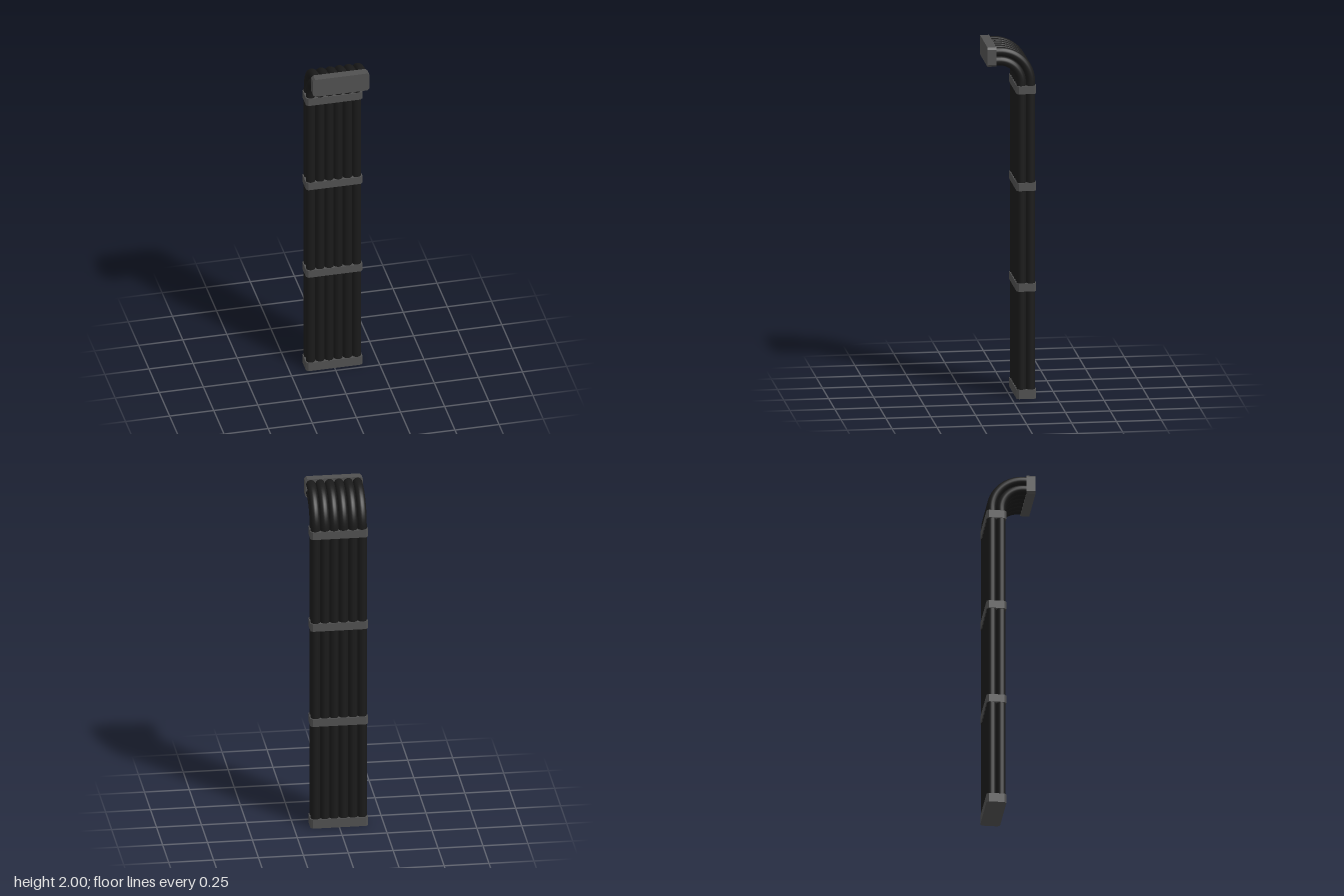
import * as THREE from 'three';
import { mergeGeometries } from 'three/addons/utils/BufferGeometryUtils.js';

const cableMaterial = new THREE.MeshStandardMaterial({ color: 0x1a1a1a });
const clampMaterial = new THREE.MeshStandardMaterial({ color: 0x505050 });

const RADIUS = 0.026;
const PITCH = 0.052;
const BEND = { y: 1.794, z: 0.07 }; // centre of the quarter bend

// Cable rising from the base, bending forward into the end connector
function cableGeometry(bendRadius) {
  const bottom = 0.02, end = 0.1;
  const riser = new THREE.CylinderGeometry(RADIUS, RADIUS, BEND.y - bottom, 16);
  riser.translate(0, (BEND.y + bottom) / 2, BEND.z - bendRadius);

  const bend = new THREE.TorusGeometry(bendRadius, RADIUS, 16, 16, Math.PI / 2);
  bend.rotateY(Math.PI / 2);
  bend.translate(0, BEND.y, BEND.z);

  const tip = new THREE.CylinderGeometry(RADIUS, RADIUS, end - BEND.z, 16);
  tip.rotateX(Math.PI / 2);
  tip.translate(0, BEND.y + bendRadius, (BEND.z + end) / 2);
  return mergeGeometries([riser, bend, tip]);
}

// Flat block with chamfered corners, extruded along z and centred
function clampGeometry(width, depth, thickness, chamfer = 0.012) {
  const w = width / 2, d = depth / 2, c = chamfer;
  const outline = [
    [-w + c, -d], [w - c, -d], [w, -d + c], [w, d - c],
    [w - c, d], [-w + c, d], [-w, d - c], [-w, -d + c],
  ].map(([x, y]) => new THREE.Vector2(x, y));
  const geometry = new THREE.ExtrudeGeometry(new THREE.Shape(outline), {
    depth: thickness, bevelEnabled: false,
  });
  return geometry.translate(0, 0, -thickness / 2);
}

export function createModel() {
  const model = new THREE.Group();
  model.name = 'cableBundle';

  // Two rows of six cables
  const rows = [['frontCable', 0.125], ['backCable', 0.125 + PITCH]];
  for (const [name, bendRadius] of rows) {
    const geometry = cableGeometry(bendRadius);
    for (let i = 0; i < 6; i++) {
      const cable = new THREE.Mesh(geometry, cableMaterial);
      cable.name = name + (i + 1);
      cable.position.x = (i - 2.5) * PITCH;
      model.add(cable);
    }
  }

  // Clamps around the straight run: [centre height, thickness]
  const clamps = [['baseCap', 0.026, 0.052], ['lowerClamp', 0.632, 0.045],
    ['middleClamp', 1.203, 0.045], ['upperClamp', 1.753, 0.045]];
  for (const [name, y, thickness] of clamps) {
    const clamp = new THREE.Mesh(clampGeometry(0.32, 0.11, thickness), clampMaterial);
    clamp.name = name;
    clamp.rotation.x = -Math.PI / 2;
    clamp.position.set(0, y, -0.081);
    model.add(clamp);
  }

  // End connector facing forward
  const connector = new THREE.Mesh(clampGeometry(0.32, 0.11, 0.05), clampMaterial);
  connector.name = 'endConnector';
  connector.position.set(0, 1.945, 0.111);
  model.add(connector);

  return model;
}
